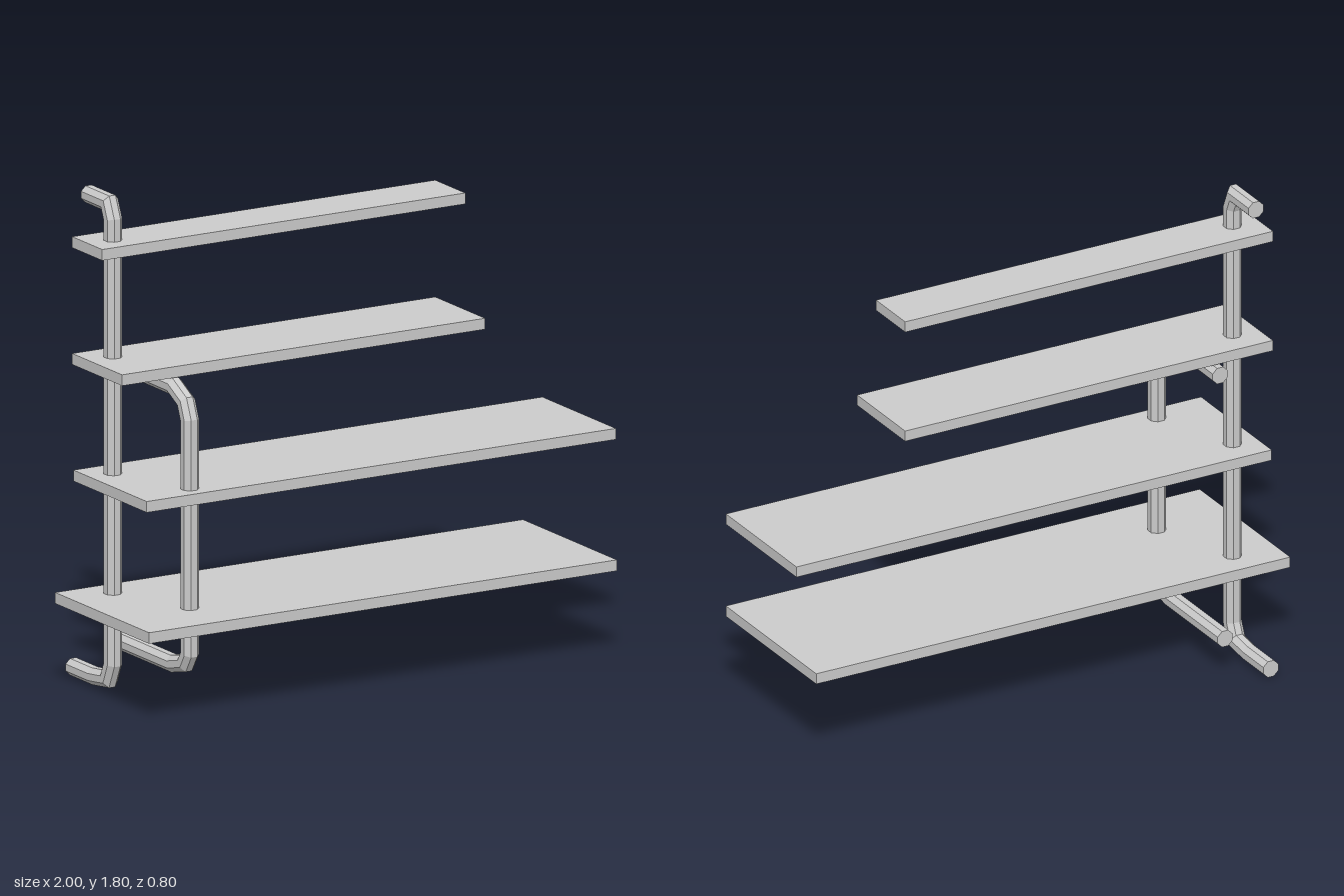
import * as THREE from 'three';

const material = new THREE.MeshStandardMaterial({ color: 0xcccccc, flatShading: true });

// Mitred pipe swept along [z, y] points in the plane x = const, with capped ends.
function pipe(name, x, radius, path, sides = 8) {
  const pts = path.map(([z, y]) => new THREE.Vector2(z, y));
  const dirs = pts.slice(1).map((p, i) => p.clone().sub(pts[i]).normalize());
  const positions = [], index = [];
  pts.forEach((p, i) => {
    const a = dirs[Math.max(i - 1, 0)], b = dirs[Math.min(i, dirs.length - 1)];
    const t = a.clone().add(b).normalize();
    const stretch = radius / t.dot(a);
    for (let j = 0; j < sides; j++) {
      const ang = ((j + 0.5) / sides) * Math.PI * 2;
      const n = Math.sin(ang) * stretch;
      positions.push(x + Math.cos(ang) * radius, p.y + t.x * n, p.x - t.y * n);
    }
  });
  for (let i = 0; i < dirs.length; i++) {
    for (let j = 0; j < sides; j++) {
      const k = (j + 1) % sides, a = i * sides, b = a + sides;
      index.push(a + j, a + k, b + j, a + k, b + k, b + j);
    }
  }
  // End caps
  const last = dirs.length * sides;
  for (let j = 1; j < sides - 1; j++) {
    index.push(0, j + 1, j, last, last + j, last + j + 1);
  }
  const g = new THREE.BufferGeometry();
  g.setAttribute('position', new THREE.Float32BufferAttribute(positions, 3));
  g.setIndex(index);
  const flat = g.toNonIndexed();
  flat.computeVertexNormals();
  const mesh = new THREE.Mesh(flat, material);
  mesh.name = name;
  return mesh;
}

// Board given by its extents in x and z and its centre height.
function shelf(name, x0, x1, z0, z1, y) {
  const mesh = new THREE.Mesh(new THREE.BoxGeometry(x1 - x0, 0.04, z1 - z0), material);
  mesh.position.set((x0 + x1) / 2, y, (z0 + z1) / 2);
  mesh.name = name;
  return mesh;
}

export function createModel() {
  const group = new THREE.Group();
  group.name = 'pipeShelf';

  // Four boards, flush at the back and shallower towards the top
  group.add(
    shelf('bottomShelf', -1, 0.92, -0.24, 0.4, 0.345),
    shelf('lowerShelf', -0.925, 1, -0.24, 0.26, 0.78),
    shelf('upperShelf', -0.93, 0.56, -0.24, 0.1, 1.205),
    shelf('topShelf', -0.93, 0.56, -0.24, -0.035, 1.63)
  );

  // Tall rear pipe, bent back to the wall at both ends
  group.add(pipe('tallPipe', -0.83, 0.033, [
    [-0.4, 0.036], [-0.25, 0.036], [-0.155, 0.048], [-0.128, 0.11],
    [-0.128, 1.725], [-0.152, 1.78], [-0.295, 1.78],
  ]));

  // Short front pipe with long arms reaching back to the wall
  group.add(pipe('shortPipe', -0.705, 0.033, [
    [-0.295, 0.14], [0.08, 0.14], [0.162, 0.16], [0.188, 0.202],
    [0.188, 1.05], [0.163, 1.11], [0.085, 1.15], [-0.26, 1.15],
  ]));

  return group;
}
